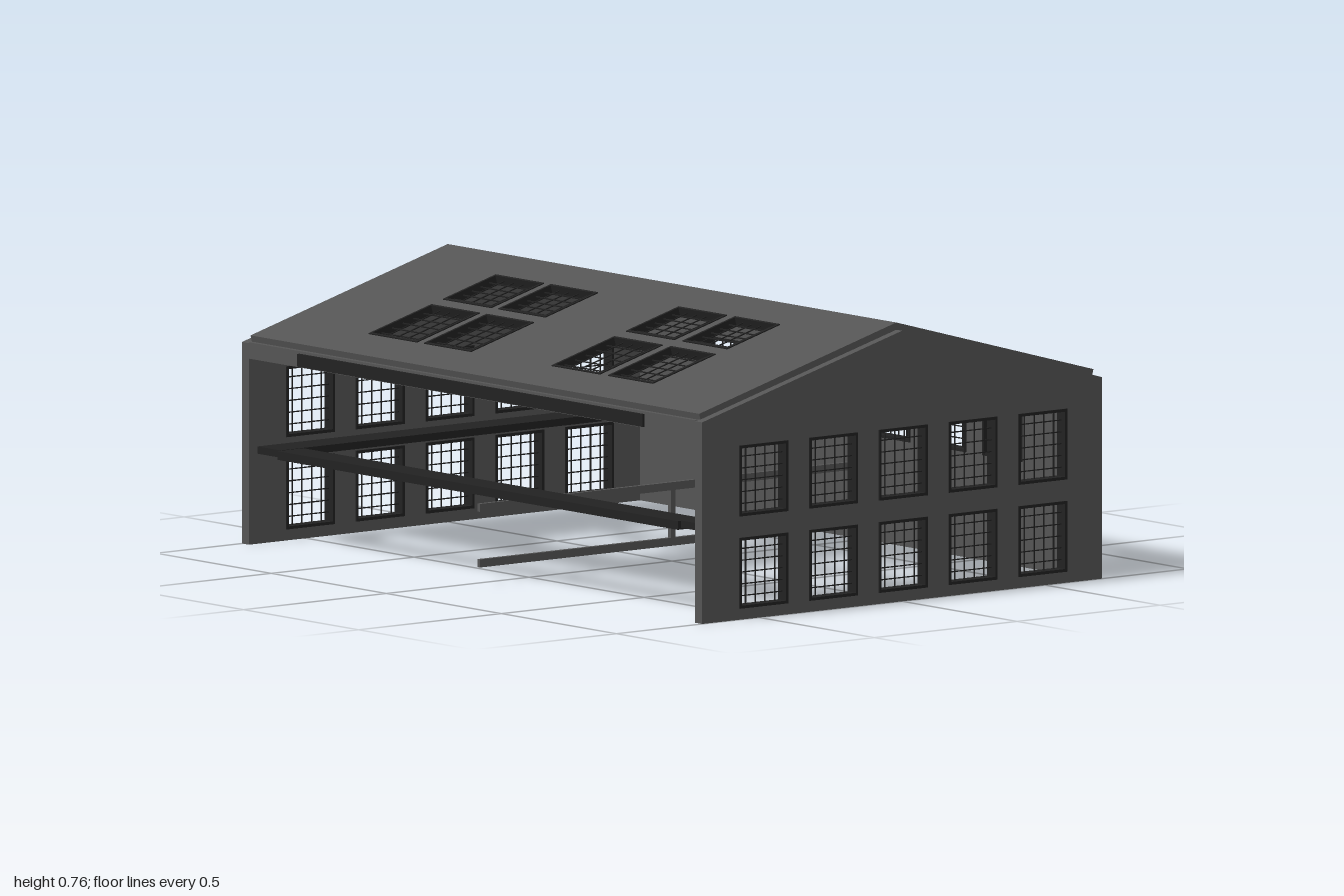
import * as THREE from 'three';
import { mergeGeometries } from 'three/addons/utils/BufferGeometryUtils.js';

const wallMat = new THREE.MeshStandardMaterial({ color: 0x555555 });
const frameMat = new THREE.MeshStandardMaterial({ color: 0x222222 });

const WALL = 0.03, ROOF = 0.02;
const EAVE = 0.555, RIDGE = 0.745, HALF_Z = 0.7;
const SLOPE = Math.atan2(0.19, 0.69);

function rectPoints({ x, y, w, h }) {
  const a = w / 2, b = h / 2;
  return [[x - a, y - b], [x + a, y - b], [x + a, y + b], [x - a, y + b]]
    .map(([u, v]) => new THREE.Vector2(u, v));
}

// Flat panel pierced by rectangular openings
function panel(name, outline, openings, depth) {
  const shape = new THREE.Shape(outline);
  openings.forEach(o => shape.holes.push(new THREE.Path(rectPoints(o).reverse())));
  const geo = new THREE.ExtrudeGeometry(shape, { depth, bevelEnabled: false });
  const mesh = new THREE.Mesh(geo, wallMat);
  mesh.name = name;
  return mesh;
}

function boxGeo(w, h, d, x, y, z) {
  return new THREE.BoxGeometry(w, h, d).translate(x, y, z);
}

function box(name, w, h, d, x, y, z, mat = wallMat) {
  const mesh = new THREE.Mesh(boxGeo(w, h, d, x, y, z), mat);
  mesh.name = name;
  return mesh;
}

// Frame and glazing bars for one opening
function glazing(name, o, depth, cols, rows) {
  const f = 0.008, bar = 0.003, z = depth / 2, d = depth + 0.006;
  const parts = [];
  for (const s of [-1, 1]) {
    parts.push(boxGeo(f, o.h, d, o.x + s * (o.w - f) / 2, o.y, z));
    parts.push(boxGeo(o.w, f, d, o.x, o.y + s * (o.h - f) / 2, z));
  }
  for (let i = 1; i < cols; i++)
    parts.push(boxGeo(bar, o.h, bar, o.x + o.w * (i / cols - 0.5), o.y, z));
  for (let j = 1; j < rows; j++)
    parts.push(boxGeo(o.w, bar, bar, o.x, o.y + o.h * (j / rows - 0.5), z));
  const mesh = new THREE.Mesh(mergeGeometries(parts), frameMat);
  mesh.name = name;
  return mesh;
}

function glazedPanel(name, outline, openings, depth, glazingName) {
  const g = new THREE.Group();
  g.name = name;
  g.add(panel(name + 'Surface', outline, openings, depth));
  openings.forEach(o => g.add(glazing(glazingName, o, depth, 5, 6)));
  return g;
}

// Roof side, drawn with its ridge at y = 0 and its eave below
function roofSide(name, columns, rows) {
  const c = Math.cos(SLOPE);
  const length = 0.69 / c;
  const openings = [];
  for (const [x0, x1] of columns)
    for (const [z0, z1] of rows)
      openings.push({ x: (x0 + x1) / 2, y: -(z0 + z1) / 2 / c, w: x1 - x0, h: (z1 - z0) / c });
  const outline = rectPoints({ x: 0, y: -length / 2, w: 1.95, h: length });
  const side = glazedPanel(name, outline, openings, ROOF, 'skylight');
  side.rotation.x = SLOPE - Math.PI / 2;
  side.position.set(0, RIDGE + ROOF - ROOF * c, -ROOF * Math.sin(SLOPE));
  const pivot = new THREE.Group();
  pivot.name = name + 'Pivot';
  pivot.add(side);
  return pivot;
}

export function createModel() {
  const model = new THREE.Group();
  model.name = 'hall';

  // Gable walls with two rows of five windows
  const gable = [[-HALF_Z, 0], [HALF_Z, 0], [HALF_Z, EAVE], [0, RIDGE], [-HALF_Z, EAVE]]
    .map(([z, y]) => new THREE.Vector2(z, y));
  const gableWindows = [];
  for (const y of [0.128, 0.382])
    for (let i = -2; i <= 2; i++)
      gableWindows.push({ x: -0.003 + i * 0.244, y, w: 0.17, h: 0.195 });
  for (const [name, x] of [['leftGable', 1], ['rightGable', -1 + WALL]]) {
    const wall = glazedPanel(name, gable, gableWindows, WALL, 'gableWindow');
    wall.rotation.y = -Math.PI / 2;
    wall.position.x = x;
    model.add(wall);
  }

  // Back wall with one row of six windows
  const backWindows = [];
  for (let i = 0; i < 6; i++)
    backWindows.push({ x: -0.613 + i * 0.2436, y: 0.388, w: 0.172, h: 0.197 });
  const back = glazedPanel('backWall', rectPoints({ x: 0, y: EAVE / 2, w: 1.94, h: EAVE }),
    backWindows, WALL, 'backWindow');
  back.position.z = -HALF_Z;
  model.add(back);

  // Pitched roof with groups of four skylights
  const columns = [[-0.61, -0.4], [-0.37, -0.165], [0.185, 0.395], [0.43, 0.625]];
  model.add(roofSide('frontRoof', columns, [[0.125, 0.31], [0.35, 0.57]]));
  const backRoof = roofSide('backRoof', columns.map(([a, b]) => [-b, -a]), [[0.13, 0.325], [0.36, 0.58]]);
  backRoof.rotation.y = Math.PI;
  model.add(backRoof);

  // Lintel over the open front, and gutters along both eaves
  model.add(box('frontLintel', 1.94, 0.045, WALL, 0, 0.535, HALF_Z - WALL / 2));
  for (const s of [-1, 1])
    model.add(box('gutter', 1.5, 0.035, 0.012, 0, 0.533, s * 0.702, frameMat));

  // Ledges along the gables and across the opening
  for (const s of [-1, 1])
    model.add(box('sideLedge', 0.1, 0.02, 1.34, s * 0.92, 0.258, 0, frameMat));
  model.add(box('frontLedge', 1.74, 0.024, 0.09, 0, 0.255, 0.635, frameMat));

  // Central rails running front to back, joined by a post
  for (const y of [0.055, 0.208])
    model.add(box('centreRail', 0.012, 0.022, 1.36, 0.004, y, 0));
  model.add(box('centrePost', 0.012, 0.15, 0.016, 0.004, 0.13, 0.004));

  return model;
}
